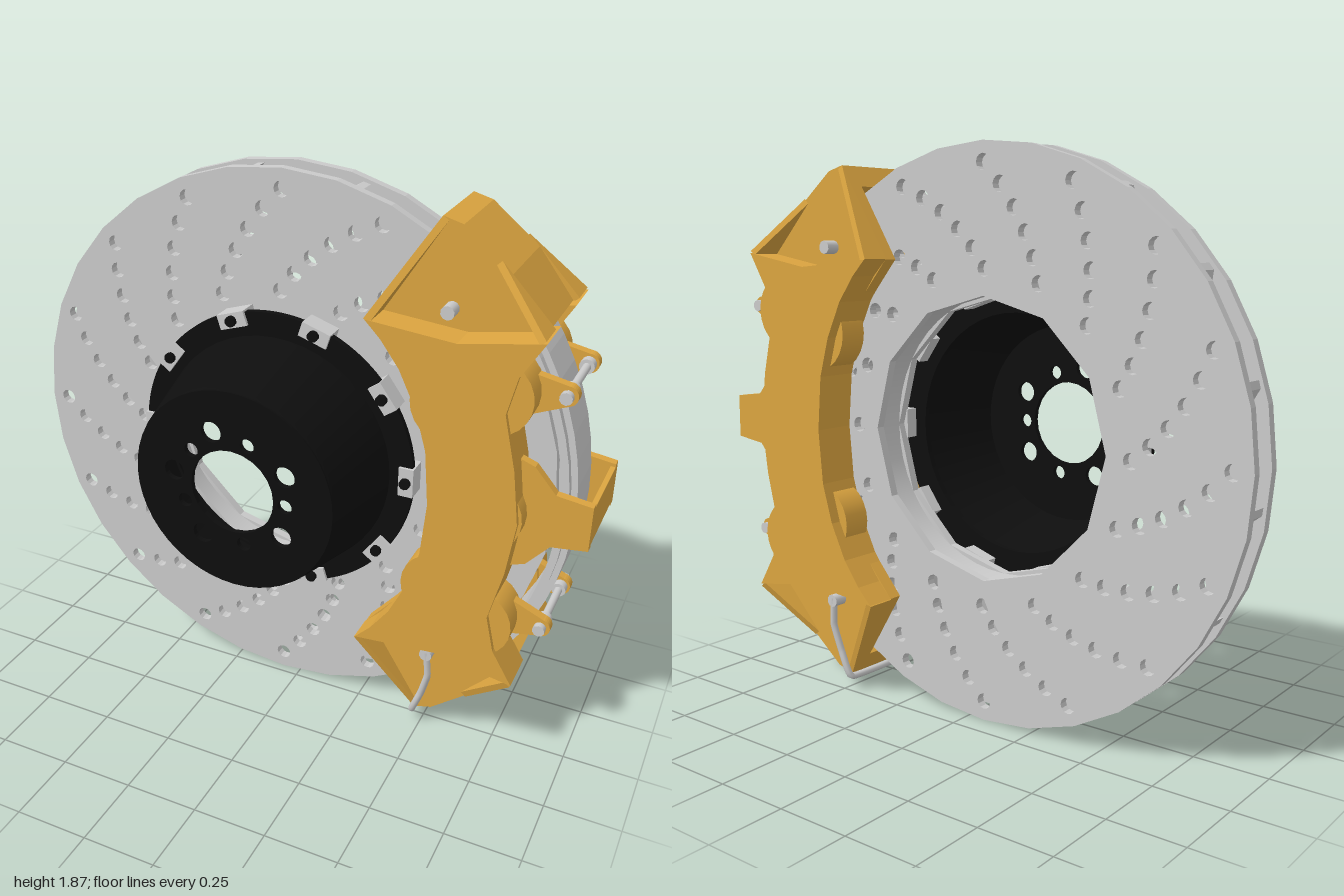
import * as THREE from 'three';

const mat = (color, extra = {}) => new THREE.MeshStandardMaterial({ color, ...extra });
const GREY = mat(0xcccccc), GOLD = mat(0xdca540);
const BLACK = mat(0x0e0e0e, { side: THREE.DoubleSide });
const rad = THREE.MathUtils.degToRad;
const polar = (r, deg) => new THREE.Vector2(r * Math.cos(rad(deg)), r * Math.sin(rad(deg)));
const flip = (pts, s) => pts.map(p => new THREE.Vector2(p.x, p.y * s));

function add(parent, name, geometry, material, x = 0, y = 0, z = 0) {
  const mesh = new THREE.Mesh(geometry, material);
  mesh.name = name;
  mesh.position.set(x, y, z);
  parent.add(mesh);
  return mesh;
}

// Slab of an outline between two z levels
function slab(shape, z0, z1, curveSegments = 6) {
  return new THREE.ExtrudeGeometry(shape, { depth: z1 - z0, bevelEnabled: false, curveSegments })
    .translate(0, 0, z0);
}
const outline = pts => new THREE.Shape(pts);
const circle = (r, n) => Array.from({ length: n }, (_, i) => polar(r, i * 360 / n));
function punch(shape, p, r) {
  const hole = new THREE.Path();
  hole.absarc(p.x, p.y, r, 0, Math.PI * 2, true);
  shape.holes.push(hole);
}
const rod = (r, z0, z1, n = 16) =>
  new THREE.CylinderGeometry(r, r, z1 - z0, n).rotateX(Math.PI / 2).translate(0, 0, (z0 + z1) / 2);
function sector(r0, r1, a0, a1, n = 14) {
  const arc = (r, a, b) => Array.from({ length: n + 1 }, (_, i) => polar(r, a + (b - a) * i / n));
  return outline([...arc(r0, a0, a1), ...arc(r1, a1, a0)]);
}

// Triangular rib standing on z0, tall at a and tapering to nothing at b
function rib(a, b, z0, h, t) {
  const d = b.clone().sub(a), len = d.length();
  d.normalize();
  const tri = outline([new THREE.Vector2(0, 0), new THREE.Vector2(len, 0), new THREE.Vector2(0, h)]);
  const m = new THREE.Matrix4().makeBasis(new THREE.Vector3(d.x, d.y, 0),
    new THREE.Vector3(0, 0, 1), new THREE.Vector3(d.y, -d.x, 0)).setPosition(a.x, a.y, z0);
  return slab(tri, -t / 2, t / 2).applyMatrix4(m);
}

// Vented, drilled disc centred on z = 0
function buildDisc() {
  const g = new THREE.Group();
  g.name = 'disc';
  const plate = outline(circle(0.935, 32));
  punch(plate, new THREE.Vector2(), 0.46);
  for (let k = 0; k < 16; k++)
    for (let i = 0; i < 6; i++)
      punch(plate, polar(0.87 - i * 0.065, k * 22.5 + i * 4.6), 0.026);
  add(g, 'frontPlate', slab(plate, 0.04, 0.07), GREY);
  add(g, 'backPlate', slab(plate, -0.07, -0.04), GREY);
  // Swept vanes run between the rows of holes
  const edge = off => Array.from({ length: 7 }, (_, i) =>
    polar(0.47 + i * 0.075, (0.87 - 0.47 - i * 0.075) * 71 + off / (0.47 + i * 0.075)));
  const vane = slab(outline([...edge(-0.7), ...edge(0.7).reverse()]), -0.04, 0.04);
  for (let k = 0; k < 16; k++)
    add(g, 'vane', vane, GREY).rotation.z = rad(k * 22.5 + 11.25);
  const bore = new THREE.CylinderGeometry(0.46, 0.46, 0.13, 48, 1, true).rotateX(Math.PI / 2);
  add(g, 'innerWall', bore, mat(0xcccccc, { side: THREE.DoubleSide }));
  return g;
}

// Dark mounting hat with scalloped flange and clips
function buildHat() {
  const g = new THREE.Group();
  g.name = 'hat';
  const wall = [[0.41, 0.015], [0.41, 0.04], [0.35, 0.315], [0.342, 0.328]].map(p => new THREE.Vector2(...p));
  add(g, 'hatWall', new THREE.LatheGeometry(wall, 48).rotateX(Math.PI / 2).scale(1, 1, 1), BLACK)
    .scale.set(1, 1, 1);
  const face = outline(circle(0.345, 48));
  punch(face, new THREE.Vector2(), 0.145);
  for (const a of [109, 28, -35, -122, 171]) punch(face, polar(0.208, a), 0.035);
  for (const a of [72, 140, 202, 282, 358]) punch(face, polar(0.184, a), 0.024);
  add(g, 'hatFace', slab(face, 0.312, 0.33, 12), BLACK);

  const rim = [];
  for (let i = 0; i < 120; i++) {
    const fromClip = Math.abs(((i * 3 + 18) % 36) - 18);
    rim.push(polar(fromClip < 6 ? 0.455 : 0.49, i * 3));
  }
  const flange = outline(rim);
  punch(flange, new THREE.Vector2(), 0.4);
  add(g, 'flange', slab(flange, 0.01, 0.03, 24), BLACK);
  for (let k = 0; k < 10; k++) {
    const clip = new THREE.Group();
    clip.name = 'clip';
    clip.rotation.z = rad(k * 36);
    add(clip, 'clipBlock', new THREE.BoxGeometry(0.05, 0.1, 0.075), GREY, 0.468, 0, 0.0025);
    add(clip, 'clipBolt', rod(0.018, 0.03, 0.055, 10), BLACK, 0.468);
    g.add(clip);
  }
  return g;
}

// One half of the caliper, on the +z side of the disc
function buildSide() {
  const g = new THREE.Group();
  g.name = 'caliperHalf';
  const half = [[0.577, 0], [0.59, 18], [0.61, 31], [0.636, 43], [0.656, 52], [0.67, 58.4],
    [0.838, 40.6], [1.07, 33.5], [0.95, 30], [0.87, 24], [0.855, 12], [0.86, 0]].map(p => polar(...p));
  add(g, 'body', slab(outline([...half, ...flip(half.slice(1, -1), -1).reverse()]), 0.09, 0.2375), GOLD);
  add(g, 'middlePistonHousing', rod(0.13, 0.1, 0.22, 24), GOLD, 0.74);

  const floor = [[0.67, 58.4], [1.03, 58.4], [1.05, 55], [1.055, 44.4], [1.05, 34], [0.838, 30], [0.64, 45]]
    .map(p => polar(...p));
  for (const s of [1, -1]) {
    add(g, 'wingFloor', slab(outline(flip(floor, s)), 0.09, 0.1375), GOLD);
    add(g, 'endRib', rib(polar(0.67, s * 57.8), polar(1.03, s * 57.8), 0.1375, 0.1, 0.022), GOLD);
    add(g, 'outerRib', rib(polar(1.06, s * 33.8), polar(1.045, s * 47), 0.1375, 0.1, 0.022), GOLD);
    add(g, 'pistonHousing', rod(0.125, 0.1, 0.22, 24), GOLD, 0.745, s * 0.395);
    add(g, 'pistonCup', rod(0.13, 0.1, 0.2, 24), GOLD, 0.62, s * 0.325);
    add(g, 'wingBolt', rod(0.022, 0.13, 0.185, 10), GREY, 0.585, s * 0.61);
    // Lug that carries the retaining pin
    const lug = new THREE.Shape();
    lug.moveTo(0.78, 0.3);
    lug.lineTo(0.955, 0.375);
    lug.absarc(0.945, 0.405, 0.032, -Math.PI / 2, Math.PI / 2, false);
    lug.lineTo(0.78, 0.47);
    const geo = slab(outline(flip(lug.getPoints(8), s)), 0.113, 0.145);
    add(g, 'pinLug', geo, GOLD);
  }
  // Flared leg of the middle bridge
  const leg = [[0.8, 0.2], [0.88, 0.17], [0.95, 0.09], [1.064, 0.075]].map(p => new THREE.Vector2(...p));
  add(g, 'bridgeLeg', slab(outline([...leg, ...flip(leg, -1).reverse()]), 0.135, 0.165), GOLD);
  return g;
}

function buildCaliper() {
  const g = new THREE.Group();
  g.name = 'caliper';
  const front = buildSide(), back = buildSide();
  back.rotation.x = Math.PI;
  g.add(front, back);

  const roof = [[0.95, 58.4], [1.03, 58.4], [1.05, 55], [1.055, 44.4], [1.05, 34], [0.95, 34], [0.95, 46]]
    .map(p => polar(...p));
  for (const s of [1, -1]) {
    add(g, 'endBridge', slab(outline(flip(roof, s)), -0.1375, 0.1375), GOLD);
    add(g, 'retainingPin', rod(0.013, -0.16, 0.16), GREY, 0.945, s * 0.405);
    for (const z of [-0.1, 0.1])
      add(g, 'pinCollar', rod(0.024, z - 0.016, z + 0.016), GREY, 0.945, s * 0.405);
    for (const z of [-0.155, 0.155])
      add(g, 'pinHead', rod(0.02, z - 0.012, z + 0.012, 10), GREY, 0.945, s * 0.405);
  }
  // Middle bridge strap with the dark ring below it
  add(g, 'bridgeStrap', new THREE.BoxGeometry(0.016, 0.13, 0.33), GOLD, 1.056);
  const ring = new THREE.TorusGeometry(0.09, 0.006, 8, 32).rotateX(Math.PI / 2).scale(0.22, 1, 1);
  add(g, 'ring', ring, BLACK, 1.025, -0.08, 0);

  // Curved cover over the disc edge
  add(g, 'coverBand', slab(sector(0.955, 0.98, -35, 35), -0.11, 0.11), GREY);
  add(g, 'coverRidge', slab(sector(0.975, 1.0, -35, 35), -0.085, 0.085), GREY);

  // Crossover pipe around the lower end
  const side = [[0.585, -0.6, 0.175], [0.593, -0.7, 0.17], [0.57, -0.79, 0.16], [0.535, -0.885, 0.145]];
  const path = [...side, ...side.map(([x, y, z]) => [x, y, -z]).reverse()].map(p => new THREE.Vector3(...p));
  const curve = new THREE.CatmullRomCurve3(path, false, 'catmullrom', 0.15);
  add(g, 'crossoverPipe', new THREE.TubeGeometry(curve, 70, 0.012, 8), GREY);
  return g;
}

export function createModel() {
  const model = new THREE.Group();
  model.name = 'brakeAssembly';
  const disc = buildDisc(), hat = buildHat(), caliper = buildCaliper();
  disc.position.set(-0.065, 0.935, -0.1);
  hat.position.set(-0.065, 0.935, 0);
  caliper.position.set(-0.065, 0.935, -0.0975);
  model.add(disc, hat, caliper);
  return model;
}
